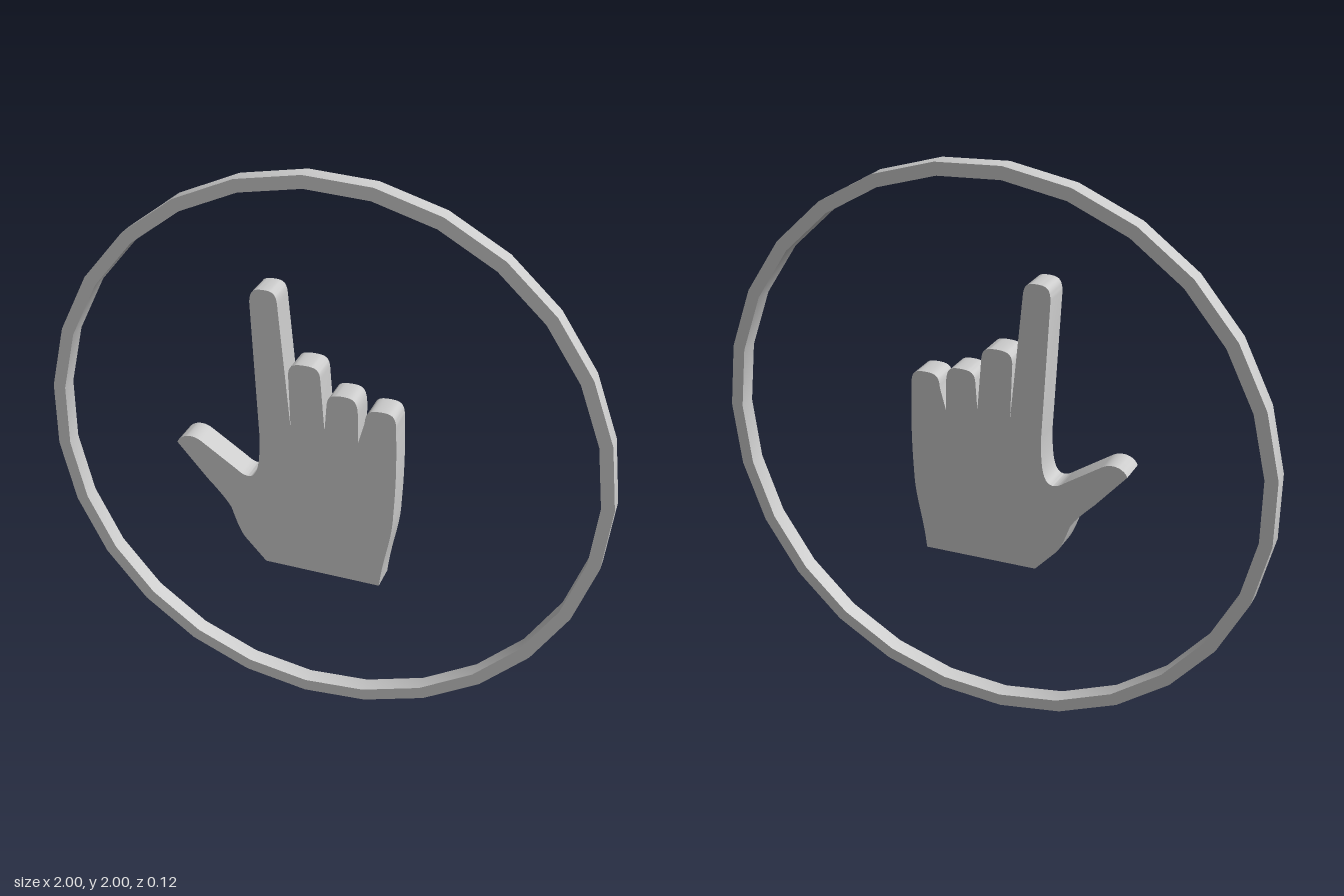
import * as THREE from 'three';
import { toCreasedNormals } from 'three/addons/utils/BufferGeometryUtils.js';

function extrude(shape, name, back, front, curveSegments) {
  const geo = new THREE.ExtrudeGeometry(shape, { depth: front - back, bevelEnabled: false, curveSegments });
  const mesh = new THREE.Mesh(
    toCreasedNormals(geo, 0.6),
    new THREE.MeshStandardMaterial({ color: 0xcccccc })
  );
  mesh.name = name;
  mesh.position.z = back;
  return mesh;
}

// Regular polygon outline for the hoop
function polygon(radius, sides) {
  return Array.from({ length: sides }, (_, i) => {
    const a = (i / sides) * Math.PI * 2;
    return new THREE.Vector2(radius * Math.cos(a), radius * Math.sin(a));
  });
}

// Fingertip from its right shoulder over a blunt top to its left shoulder
function fingertip(shape, [rx, ry], [lx, ly], top) {
  const mid = (rx + lx) / 2;
  const reach = (rx - lx) * 0.36;
  shape.lineTo(rx, ry);
  shape.bezierCurveTo(rx - 0.003, top - 0.008, mid + reach, top, mid, top);
  shape.bezierCurveTo(mid - reach, top, lx + 0.003, top - 0.008, lx, ly);
}

function handShape() {
  const s = new THREE.Shape();
  // Wrist and outer edge of the palm
  s.moveTo(-0.18, 0.59);
  s.lineTo(0.235, 0.578);
  s.bezierCurveTo(0.25, 0.72, 0.277, 0.76, 0.28, 0.88);
  s.bezierCurveTo(0.287, 1.0, 0.286, 1.1, 0.281, 1.2);
  // Little, ring, middle and index fingers with the notches between them
  fingertip(s, [0.281, 1.21], [0.174, 1.205], 1.255);
  s.lineTo(0.152, 1.125);
  fingertip(s, [0.151, 1.23], [0.043, 1.25], 1.289);
  s.lineTo(0.036, 1.15);
  fingertip(s, [0.021, 1.34], [-0.09, 1.34], 1.38);
  s.lineTo(-0.083, 1.14);
  fingertip(s, [-0.124, 1.575], [-0.22, 1.58], 1.626);
  // Web between index finger and thumb
  s.lineTo(-0.195, 1.09);
  s.bezierCurveTo(-0.195, 0.98, -0.205, 0.925, -0.24, 0.925);
  s.quadraticCurveTo(-0.26, 0.926, -0.28, 0.943);
  // Thumb and its base
  s.lineTo(-0.41, 1.03);
  s.bezierCurveTo(-0.44, 1.052, -0.485, 1.045, -0.5, 1.012);
  s.lineTo(-0.39, 0.885);
  s.quadraticCurveTo(-0.325, 0.82, -0.305, 0.785);
  s.quadraticCurveTo(-0.278, 0.7, -0.258, 0.675);
  s.closePath();
  return s;
}

export function createModel() {
  const model = new THREE.Group();
  model.name = 'pointingHandSign';

  // Thin faceted hoop
  const hoop = new THREE.Shape(polygon(1.0017, 27));
  hoop.holes.push(new THREE.Path(polygon(0.957, 27).reverse()));
  const ring = extrude(hoop, 'ring', -0.0625, 0, 1);
  ring.position.x = -0.0034;
  ring.position.y = 1;
  model.add(ring);

  // Flat hand, standing proud of the hoop at the front
  model.add(extrude(handShape(), 'hand', -0.0375, 0.0625, 10));
  return model;
}
